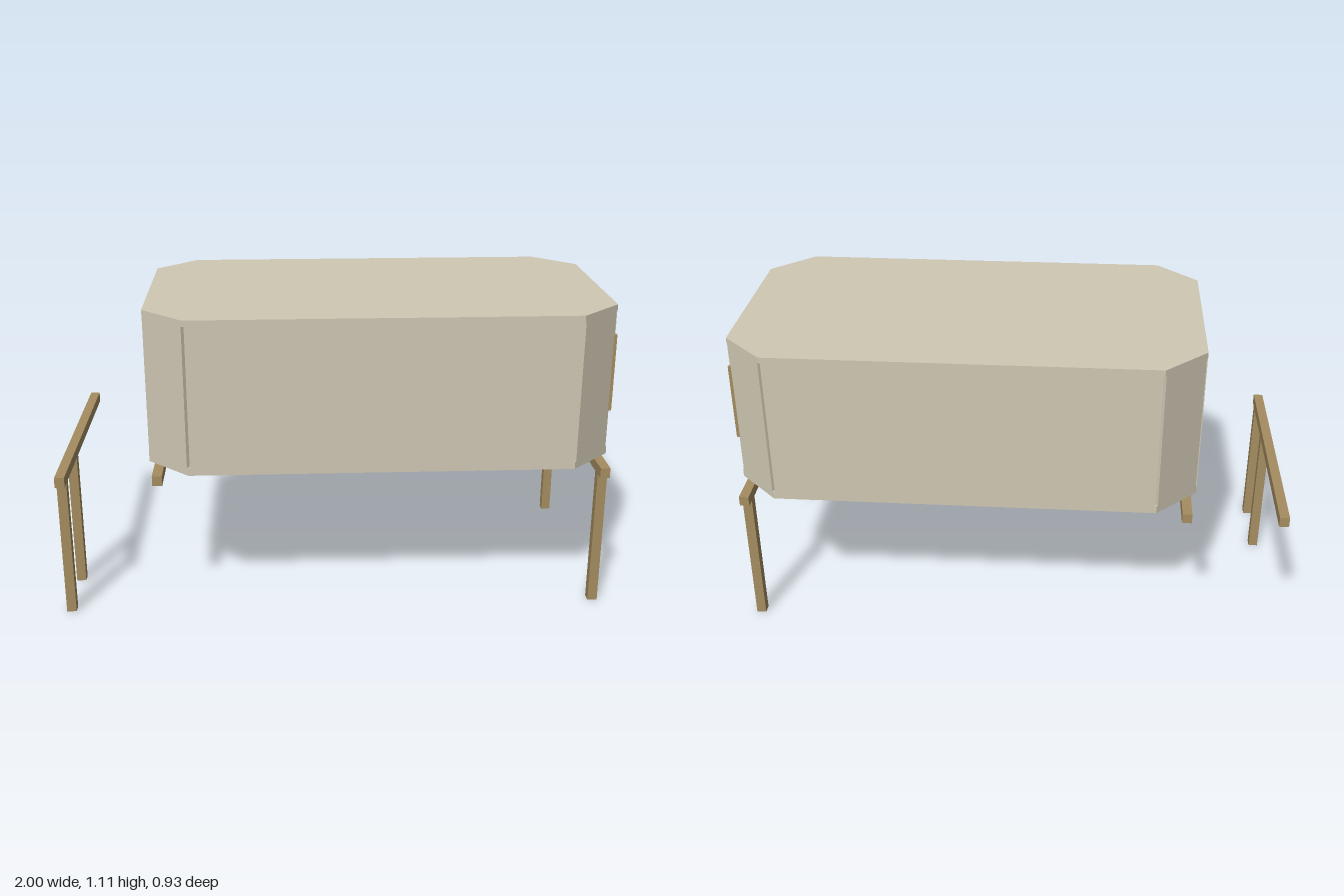
import * as THREE from 'three';

export function createModel() {
  const root = new THREE.Group();
  root.name = 'stiltCabin';
  const mat = (name, color) => {
    const m = new THREE.MeshStandardMaterial({ color });
    m.name = name;
    return m;
  };
  const cream = mat('cream wall', 0xd0c8b4);
  const wood = mat('tan wood', 0xa58d60);
  const glass = mat('blue glass', 0x88afb8);
  const brown = mat('brown panel', 0x744830);
  const dark = mat('dark table wood', 0x4f2a1e);

  const add = (parent, name, geometry, material) => {
    const m = new THREE.Mesh(geometry, material);
    m.name = name;
    parent.add(m);
    return m;
  };
  // Box given by its minimum and maximum on each axis
  const box = (parent, name, material, x0, x1, y0, y1, z0, z1) => {
    const m = add(parent, name, new THREE.BoxGeometry(x1 - x0, y1 - y0, z1 - z0), material);
    m.position.set((x0 + x1) / 2, (y0 + y1) / 2, (z0 + z1) / 2);
    return m;
  };

  // Octagonal plan
  const X0 = -0.68, X1 = 0.995, Z = 0.467, ZI = 0.32, C = 0.15;
  const FLOOR = 0.575, CEIL = 1.09, T = 0.02;
  const plan = [
    [X0 + C, Z], [X1 - C, Z], [X1, ZI], [X1, -ZI],
    [X1 - C, -Z], [X0 + C, -Z], [X0, -ZI], [X0, ZI],
  ];

  // Floor and roof slabs
  const slab = (name, y0, y1) => {
    const shape = new THREE.Shape(plan.map(([x, z]) => new THREE.Vector2(x, -z)));
    const g = new THREE.ExtrudeGeometry(shape, { depth: y1 - y0, bevelEnabled: false });
    g.rotateX(-Math.PI / 2);
    g.translate(0, y0, 0);
    add(root, name, g, cream);
  };
  slab('floor', 0.547, FLOOR);
  slab('roof', CEIL, 1.112);

  // Side and corner wall panels, a little short of the corners to leave a joint
  const walls = new THREE.Group();
  walls.name = 'walls';
  root.add(walls);
  for (const i of [0, 1, 3, 4, 5, 7]) {
    const [ax, az] = plan[i], [bx, bz] = plan[(i + 1) % 8];
    const dx = bx - ax, dz = bz - az, len = Math.hypot(dx, dz);
    const m = add(walls, i % 4 === 0 ? 'sideWall' : 'cornerWall',
      new THREE.BoxGeometry(len - 0.012, CEIL - FLOOR, T), cream);
    m.rotation.y = Math.atan2(-dz, dx);
    m.position.set((ax + bx) / 2 + (dz / len) * T / 2, (FLOOR + CEIL) / 2,
      (az + bz) / 2 - (dx / len) * T / 2);
  }

  // Doorway end wall
  const w = ZI - 0.004;
  box(walls, 'doorwayLintel', cream, X0, X0 + T, 0.922, CEIL, -w, w);
  for (const s of [-1, 1]) {
    box(walls, 'doorwayJamb', cream, X0, X0 + T, FLOOR, 0.922,
      Math.min(s * 0.24, s * w), Math.max(s * 0.24, s * w));
  }

  // Window end wall
  const win = new THREE.Group();
  win.name = 'windowWall';
  root.add(win);
  box(win, 'windowLintel', cream, X1 - T, X1, 0.997, CEIL, -w, w);
  box(win, 'lowerPanel', brown, X1 - T, X1 - 0.002, FLOOR, 0.722, -w, w);
  box(win, 'windowPane', glass, X1 - 0.014, X1 - 0.005, 0.722, 0.997, -w, w);
  for (const z of [-0.318, 0, 0.318]) {
    box(win, 'mullion', wood, X1 - 0.015, 1.0, 0.717, 1.002, z - 0.008, z + 0.008);
  }

  // Cross beams and the posts standing under them
  const frame = new THREE.Group();
  frame.name = 'stiltFrame';
  root.add(frame);
  const H = 0.0175;
  for (const [x, posts] of [[-0.9825, [0.415, 0.17]], [-0.641, []], [0.957, [0.415, -0.415]]]) {
    box(frame, 'crossBeam', wood, x - H, x + H, 0.51, 0.547, -Z, Z);
    for (const z of posts) box(frame, 'post', wood, x - H, x + H, 0, 0.51, z - H, z + H);
  }

  // Small round table inside the doorway
  const table = new THREE.Group();
  table.name = 'table';
  table.position.set(-0.526, FLOOR, 0.16);
  root.add(table);
  add(table, 'tableRim', new THREE.CylinderGeometry(0.062, 0.058, 0.01, 16), dark).position.y = 0.079;
  add(table, 'tableTop', new THREE.CylinderGeometry(0.055, 0.055, 0.002, 16), cream).position.y = 0.085;
  add(table, 'tableHub', new THREE.CylinderGeometry(0.018, 0.018, 0.02, 8), dark).position.y = 0.045;
  for (let i = 0; i < 4; i++) {
    const a = (i * Math.PI) / 2 + Math.PI / 4;
    const curve = new THREE.CatmullRomCurve3([[0.045, 0.004], [0.03, 0.03], [0.02, 0.05], [0.035, 0.076]]
      .map(([r, y]) => new THREE.Vector3(Math.cos(a) * r, y, Math.sin(a) * r)));
    add(table, 'tableLeg', new THREE.TubeGeometry(curve, 6, 0.006, 5), dark);
  }
  return root;
}
